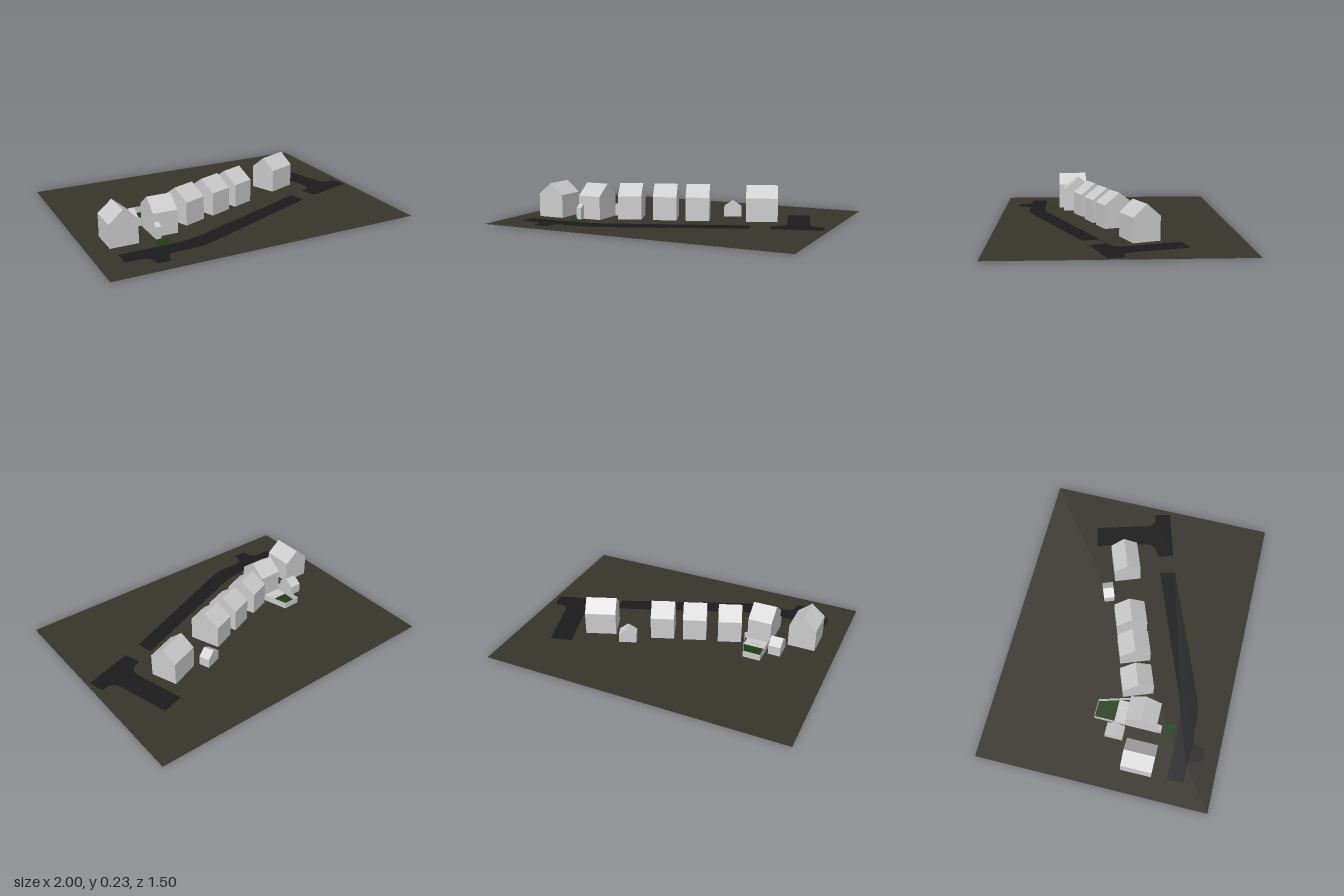
import * as THREE from 'three';

const mat = (color) => new THREE.MeshStandardMaterial({ color, flatShading: true, side: THREE.DoubleSide });
const grey = mat(0xcccccc), earth = mat(0x38342c), asphalt = mat(0x1b1b1b), grass = mat(0x1d3d16);

function add(parent, name, geometry, material, x = 0, y = 0, z = 0, turn = 0) {
  const mesh = new THREE.Mesh(geometry, material);
  mesh.name = name;
  mesh.position.set(x, y, z);
  mesh.rotation.y = turn;
  parent.add(mesh);
  return mesh;
}

// Gabled block: span across the gable, length along the ridge (z)
function gable(span, length, eaves, ridge) {
  const s = span / 2;
  const shape = new THREE.Shape([[-s, 0], [s, 0], [s, eaves], [0, ridge], [-s, eaves]]
    .map(([x, y]) => new THREE.Vector2(x, y)));
  return new THREE.ExtrudeGeometry(shape, { depth: length, bevelEnabled: false })
    .translate(0, 0, -length / 2);
}

// Thin slab from an outline of [x, z] corners
function slab(outline, height) {
  const shape = new THREE.Shape(outline.map(([x, z]) => new THREE.Vector2(x, -z)));
  return new THREE.ExtrudeGeometry(shape, { depth: height, bevelEnabled: false }).rotateX(-Math.PI / 2);
}

export function createModel() {
  const group = new THREE.Group();
  group.name = 'villageStreet';

  // Ground
  add(group, 'ground', new THREE.BoxGeometry(2, 0.001, 1.5), earth, 0, 0.001, 0);

  // Roads
  add(group, 'mainRoad', slab([
    [-0.85, 0.46], [-0.49, 0.46], [-0.41, 0.45], [-0.32, 0.425], [0.52, 0.1], [0.545, 0.2],
    [-0.24, 0.515], [-0.32, 0.545], [-0.4, 0.565], [-0.55, 0.565], [-0.585, 0.575],
    [-0.605, 0.605], [-0.61, 0.655], [-0.695, 0.655], [-0.7, 0.605], [-0.72, 0.575],
    [-0.75, 0.565], [-0.85, 0.565]], 0.003), asphalt, 0, 0.001, 0);
  add(group, 'sideRoad', slab([
    [0.615, -0.37], [0.75, -0.405], [0.85, -0.06], [0.87, -0.03], [0.905, -0.02], [0.95, -0.03],
    [0.975, 0.07], [0.67, 0.16], [0.635, 0.06], [0.685, 0.035], [0.71, 0], [0.71, -0.04]],
    0.003), asphalt, 0, 0.001, 0);

  // Houses and garages: x, z, span, length, eaves, ridge, turn (ridge runs along local z)
  const q = Math.PI / 2, skew = 0.36;
  const buildings = [
    ['house', -0.776, 0.262, 0.178, 0.197, 0.15, 0.225, 0],
    ['house', -0.502, 0.225, 0.2, 0.156, 0.15, 0.225, q],
    ['house', -0.296, 0.132, 0.2, 0.152, 0.15, 0.225, q + skew],
    ['house', -0.08, 0.06, 0.2, 0.152, 0.15, 0.225, q + skew],
    ['house', 0.118, -0.01, 0.2, 0.152, 0.15, 0.225, q + skew],
    ['house', 0.507, -0.138, 0.175, 0.2, 0.15, 0.225, q + skew],
    ['garage', -0.642, 0.073, 0.115, 0.08, 0.065, 0.105, q],
    ['garage', 0.282, -0.205, 0.113, 0.071, 0.062, 0.1, skew],
  ];
  for (const [name, x, z, span, length, eaves, ridge, turn] of buildings)
    add(group, name, gable(span, length, eaves, ridge), grey, x, 0.001, z, turn);

  // Entrance porch with a roof falling to the street
  const side = new THREE.Shape([[0, 0], [0.033, 0], [0.033, 0.076], [0, 0.096]]
    .map(([x, y]) => new THREE.Vector2(x, y)));
  const porch = new THREE.ExtrudeGeometry(side, { depth: 0.034, bevelEnabled: false }).rotateY(-q);
  add(group, 'porch', porch, grey, -0.545, 0.001, 0.325);

  // Lawns and patio
  add(group, 'frontLawn', slab([[-0.592, 0.375], [-0.507, 0.375], [-0.505, 0.445], [-0.592, 0.445]],
    0.003), grass, 0, 0.001, 0);
  add(group, 'backLawn', slab([[-0.578, -0.077], [-0.468, -0.077], [-0.428, 0.05], [-0.578, 0.05]],
    0.003), grass, 0, 0.001, 0);
  add(group, 'patio', new THREE.BoxGeometry(0.152, 0.006, 0.075), grey, -0.502, 0.003, 0.088);

  // Sun loungers with raised backs
  for (const [x, z, turn] of [[-0.521, 0.077, 0.87], [-0.487, 0.081, 0.7]]) {
    const lounger = new THREE.Group();
    lounger.name = 'lounger';
    lounger.position.set(x, 0.006, z);
    lounger.rotation.y = turn;
    add(lounger, 'loungerSeat', new THREE.BoxGeometry(0.034, 0.003, 0.012), grey, 0, 0.006, 0);
    add(lounger, 'loungerBack', new THREE.BoxGeometry(0.011, 0.002, 0.012), grey, 0.013, 0.01, 0)
      .rotation.z = 0.6;
    for (const end of [-0.013, 0.013])
      add(lounger, 'loungerLeg', new THREE.BoxGeometry(0.002, 0.006, 0.012), grey, end, 0.003, 0);
    group.add(lounger);
  }

  // Garden fence around the back lawn, with returns to the house
  const fence = [[-0.58, 0.125], [-0.58, -0.078], [-0.467, -0.078], [-0.406, 0.125], [-0.425, 0.13]];
  const runs = fence.slice(1).map((end, i) => [fence[i], end]);
  runs.push([[-0.602, 0.125], [-0.58, 0.125]]);
  for (const [[x0, z0], [x1, z1]] of runs)
    add(group, 'fence', new THREE.BoxGeometry(Math.hypot(x1 - x0, z1 - z0), 0.044, 0.002), grey,
      (x0 + x1) / 2, 0.023, (z0 + z1) / 2, Math.atan2(z0 - z1, x1 - x0));

  return group;
}
